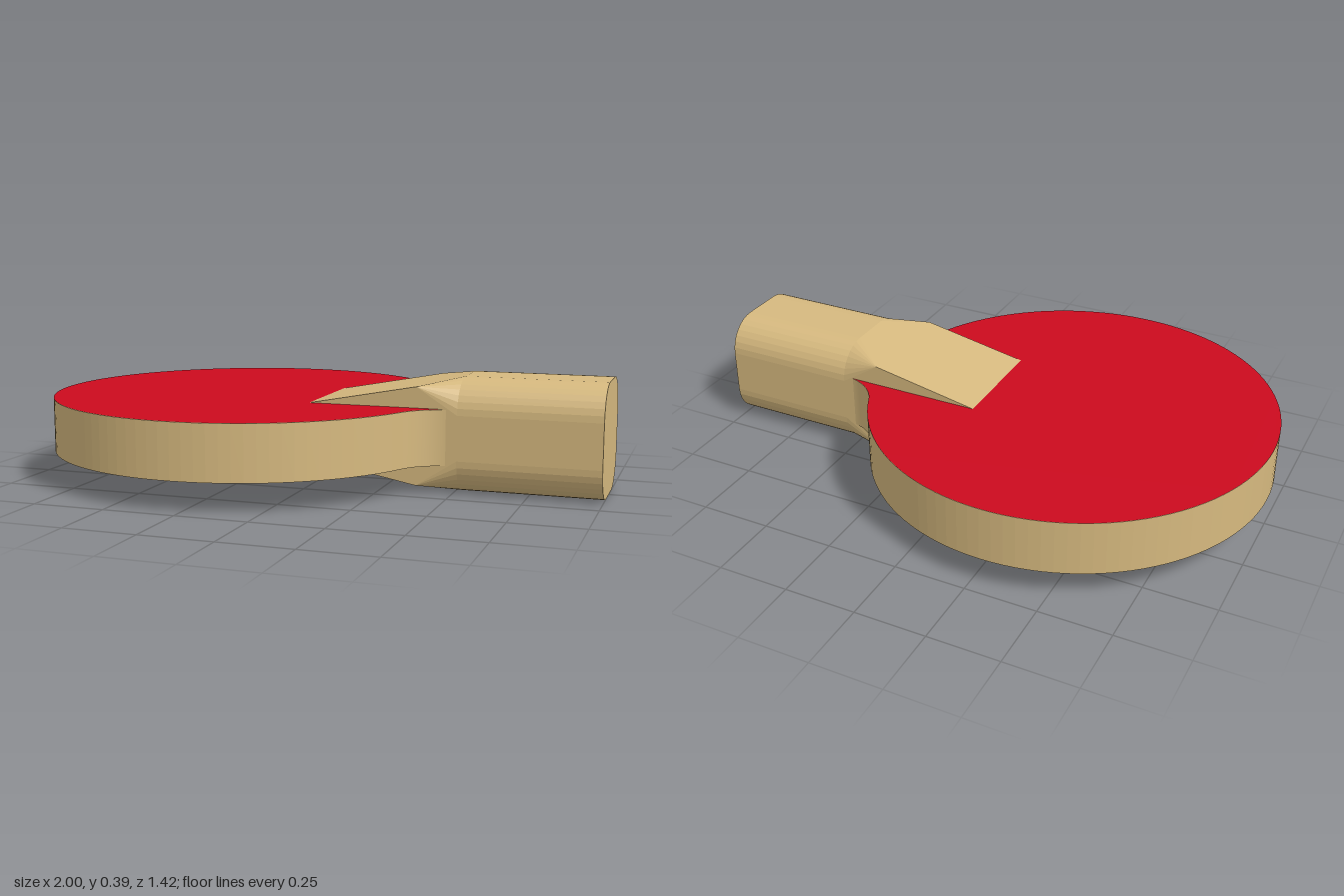
import * as THREE from 'three';

const wood = new THREE.MeshStandardMaterial({ color: 0xd6b97f, flatShading: true });
const red = new THREE.MeshStandardMaterial({ color: 0xcc0a1e });
const black = new THREE.MeshStandardMaterial({ color: 0x050505 });

const MID = 0.195;   // height of the centre plane
const HALF = 0.095;  // half thickness of the blade

function mesh(name, geometry, material) {
  const m = new THREE.Mesh(geometry, material);
  m.name = name;
  return m;
}

// Round blade flowing through two fillets into a narrow neck
function bladeOutline() {
  const R = 0.71, cx = -0.29, neck = 0.19, fx = 0.52;
  const d = fx - cx;
  const r = (d * d + neck * neck - R * R) / (2 * (R - neck));
  const a = Math.atan2(neck + r, d);
  const s = new THREE.Shape();
  s.moveTo(0.6, -neck);
  s.lineTo(fx, -neck);
  s.absarc(fx, -neck - r, r, Math.PI / 2, Math.PI - a, false);
  s.absarc(cx, 0, R, -a, a, true);
  s.absarc(fx, neck + r, r, Math.PI + a, Math.PI * 1.5, false);
  s.lineTo(0.6, neck);
  s.closePath();
  return s;
}

// Rounded rectangle section of the handle at x
function section(x, halfH, radius, halfW = 0.194, steps = 8) {
  const pts = [];
  [[1, 1], [-1, 1], [-1, -1], [1, -1]].forEach(([sz, sy], q) => {
    for (let i = 0; i <= steps; i++) {
      const t = (q + i / steps) * Math.PI / 2;
      pts.push([
        x,
        MID + sy * (halfH - radius) + radius * Math.sin(t),
        sz * (halfW - radius) + radius * Math.cos(t),
      ]);
    }
  });
  return pts;
}

// Skin through the sections, with both ends closed
function loft(sections) {
  const n = sections[0].length, pos = sections.flat(2), idx = [];
  for (let k = 0; k < sections.length - 1; k++) {
    for (let i = 0; i < n; i++) {
      const j = (i + 1) % n;
      const a = k * n + i, b = k * n + j, c = a + n, d = b + n;
      idx.push(a, c, b, b, c, d);
    }
  }
  const last = (sections.length - 1) * n;
  for (let i = 1; i < n - 1; i++) {
    idx.push(0, i, i + 1);
    idx.push(last, last + i + 1, last + i);
  }
  const g = new THREE.BufferGeometry();
  g.setAttribute('position', new THREE.Float32BufferAttribute(pos, 3));
  g.setIndex(idx);
  const flat = g.toNonIndexed();
  flat.computeVertexNormals();
  return flat;
}

export function createModel() {
  const group = new THREE.Group();
  group.name = 'paddle';
  const outline = bladeOutline();

  // Wooden blade
  const blade = new THREE.ExtrudeGeometry(outline, { depth: HALF * 2, bevelEnabled: false, curveSegments: 48 });
  blade.rotateX(-Math.PI / 2).translate(0, MID - HALF, 0);
  group.add(mesh('blade', blade, wood));

  // Coloured sheets on both faces
  [['topSheet', red, 1], ['bottomSheet', black, -1]].forEach(([name, material, side]) => {
    const sheet = new THREE.ShapeGeometry(outline, 48);
    sheet.rotateX(-side * Math.PI / 2).translate(0, MID + side * (HALF + 0.001), 0);
    group.add(mesh(name, sheet, material));
  });

  // Handle: square wedge over the blade, then a rounded grip
  const handle = loft([
    section(0, 0.096, 0),
    section(0.38, 0.168, 0),
    section(0.52, 0.195, 0.118),
    section(1, 0.195, 0.118),
  ]);
  group.add(mesh('handle', handle, wood));
  return group;
}
